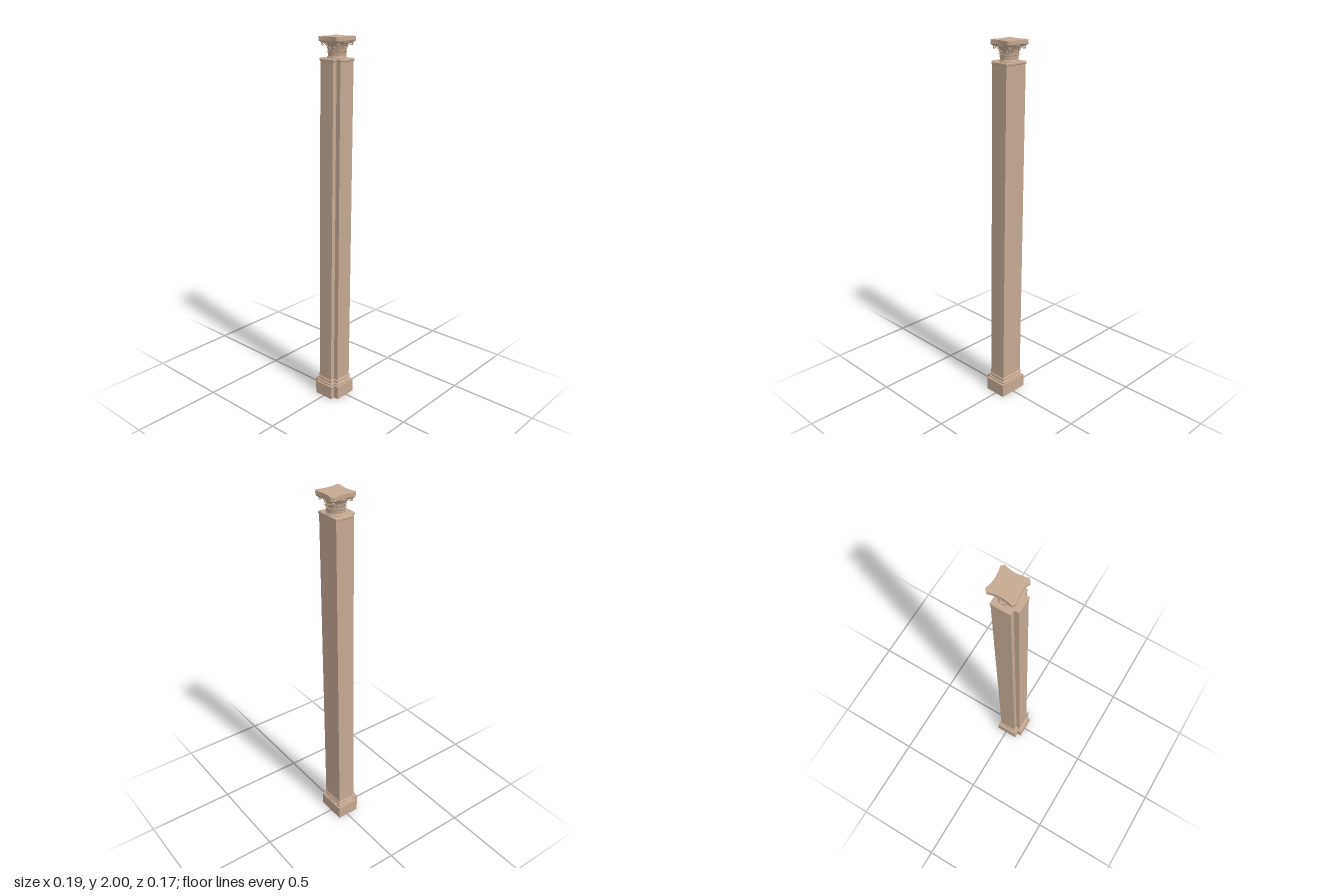
import * as THREE from 'three';

const stone = new THREE.MeshStandardMaterial({ color: 0xc4aa94, flatShading: true, side: THREE.DoubleSide });
const LEAN_X = 0.0128, LEAN_Z = -0.001;

// The whole column leans slightly, so every part is sheared by its height
function lean(geo) {
  const p = geo.attributes.position;
  for (let i = 0; i < p.count; i++) {
    const y = p.getY(i);
    p.setX(i, p.getX(i) + LEAN_X * y);
    p.setZ(i, p.getZ(i) + LEAN_Z * y);
  }
  geo.computeVertexNormals();
  return geo;
}

// Skin between outlines [x, z] stacked at heights, closed by caps
function loft(rings) {
  const pos = [], n = rings[0].pts.length;
  const put = (r, i) => pos.push(r.pts[i % n][0], r.y, r.pts[i % n][1]);
  for (let k = 0; k + 1 < rings.length; k++) {
    const lo = rings[k], hi = rings[k + 1];
    for (let i = 0; i < n; i++) {
      put(lo, i); put(hi, i); put(lo, i + 1);
      put(lo, i + 1); put(hi, i); put(hi, i + 1);
    }
  }
  const cap = (r, flip) => {
    const pts = r.pts.map(([x, z]) => new THREE.Vector2(x, z));
    for (const [a, b, c] of THREE.ShapeUtils.triangulateShape(pts, [])) {
      for (const i of flip ? [a, c, b] : [a, b, c]) put(r, i);
    }
  };
  cap(rings[0], false);
  cap(rings[rings.length - 1], true);
  const geo = new THREE.BufferGeometry();
  geo.setAttribute('position', new THREE.Float32BufferAttribute(pos, 3));
  return geo;
}

// Plan of the pier: rectangle with a narrower pilaster on the -x side
function pierPlan(dx, dz = dx) {
  const r = 0.043 + dx, l = -0.056 - dx, p = -0.081 - dx, w = 0.068 + dz, v = 0.042 + dz * 0.85;
  return [[r, -w], [r, w], [l, w], [l, v], [p, v], [p, -v], [l, -v], [l, -w]];
}

const pier = steps => loft(steps.map(([y, dx, dz]) => ({ y, pts: pierPlan(dx, dz) })));

// Square plan with hollowed sides and clipped corners
function abacusPlan(h) {
  const pts = [], clip = 0.014, dip = 0.01, n = 8;
  for (let s = 0; s < 4; s++) {
    const c = Math.round(Math.cos(s * Math.PI / 2)), d = Math.round(Math.sin(s * Math.PI / 2));
    for (let i = 0; i <= n; i++) {
      const t = i / n * 2 - 1;
      const x = h - dip * (1 - t * t), z = t * (h - clip);
      pts.push([x * c - z * d, x * d + z * c]);
    }
  }
  return pts;
}

// Pointed leaf that follows the bell and curls outward at its tip
function leaf(angle, y0, height, width, r0, r1) {
  const geo = new THREE.BoxGeometry(1, 1, 1, 2, 7, 1), p = geo.attributes.position;
  for (let i = 0; i < p.count; i++) {
    const t = p.getY(i) + 0.5, u = p.getX(i) * 2;
    const curl = Math.max(0, t - 0.6) / 0.4;
    const half = width / 2 * (0.75 + 0.5 * t - 1.0 * curl * curl);
    const r = r0 + (r1 - r0) * t * t + 0.009 * curl * curl + p.getZ(i) * 0.005 - 0.002 * u * u;
    const y = y0 + height * (t - 0.22 * curl * curl);
    p.setXYZ(i, u * half, y, r);
  }
  return geo.rotateY(angle);
}

export function createModel() {
  const model = new THREE.Group();
  model.name = 'leaningColumn';
  const add = (name, geo, parent = model) => {
    const m = new THREE.Mesh(lean(geo), stone);
    m.name = name;
    parent.add(m);
  };

  // Base and shaft share the stepped plan
  add('plinth', pier([[0, 0.015, 0.018], [0.075, 0.015, 0.018]]));
  add('baseMoulding', pier([
    [0.075, 0.005], [0.078, 0.008], [0.085, 0.008], [0.088, 0.005], [0.091, 0.002],
    [0.097, 0.002], [0.099, 0.005], [0.104, 0.005], [0.107, 0.003], [0.112, 0]]));
  add('shaft', pier([[0.108, 0], [1.885, 0]]));
  add('neckMoulding', pier([[1.88, 0], [1.883, 0.003], [1.891, 0.003], [1.895, 0]]));

  // Capital, centred over the main block of the shaft
  const capital = new THREE.Group();
  capital.name = 'capital';
  model.add(capital);
  const cx = -0.0055;
  const place = (name, geo, sz = 1.08) => add(name, geo.scale(1, 1, sz).translate(cx, 0, 0), capital);

  const bell = [[0, 1.89], [0.046, 1.89], [0.048, 1.897], [0.045, 1.903], [0.041, 1.907], [0.041, 1.93],
    [0.045, 1.952], [0.053, 1.966], [0.06, 1.972], [0.06, 1.976], [0, 1.976]].map(([x, y]) => new THREE.Vector2(x, y));
  place('bell', new THREE.LatheGeometry(bell, 24));

  for (let i = 0; i < 8; i++) {
    const a = i * Math.PI / 4;
    place('lowerLeaf', leaf(a, 1.903, 0.035, 0.026, 0.042, 0.046));
    place('upperLeaf', leaf(a + Math.PI / 8, 1.905, 0.058, 0.024, 0.041, 0.049));
  }

  // Corner stems ending in scrolls below the abacus
  for (let i = 0; i < 4; i++) {
    const a = Math.PI / 4 + i * Math.PI / 2;
    const path = new THREE.CatmullRomCurve3([[0.042, 1.925], [0.049, 1.95], [0.062, 1.967], [0.075, 1.97],
      [0.078, 1.962], [0.072, 1.957], [0.068, 1.962]].map(([r, y]) => new THREE.Vector3(0, y, r)));
    place('cornerScroll', new THREE.TubeGeometry(path, 18, 0.004, 6).scale(1.6, 1, 1).rotateY(a), 1);
  }

  const slab = [[1.97, 0.064], [1.974, 0.067], [1.98, 0.073], [2, 0.073]];
  place('abacus', loft(slab.map(([y, h]) => ({ y, pts: abacusPlan(h) }))), 1);
  return model;
}
